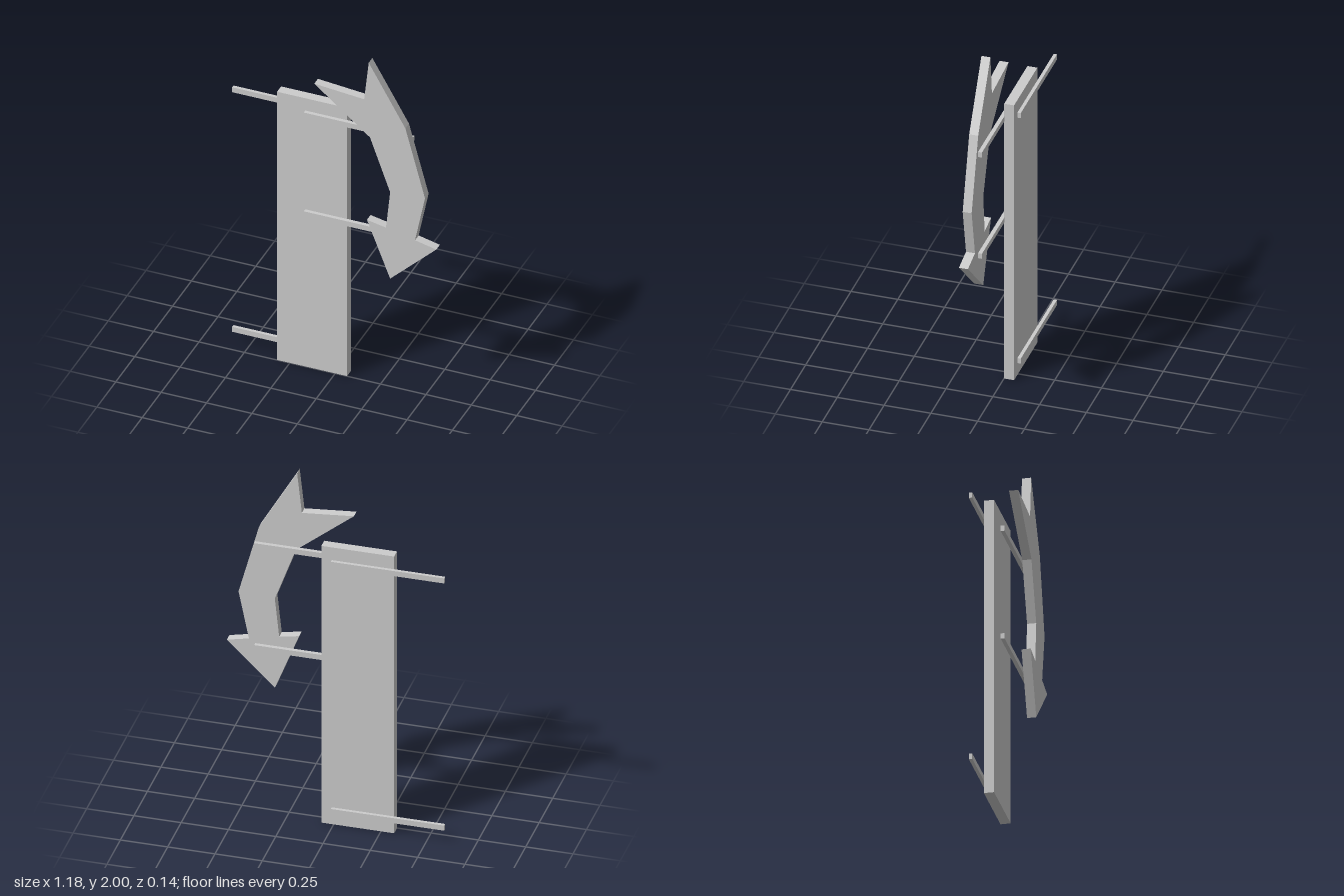
import * as THREE from 'three';

export function createModel() {
  const group = new THREE.Group();
  const material = new THREE.MeshStandardMaterial({ color: 0xcccccc, flatShading: true });

  const add = (name, geometry) => {
    const mesh = new THREE.Mesh(geometry, material);
    mesh.name = name;
    group.add(mesh);
    return mesh;
  };
  // Box given by its limits on each axis
  const slab = (name, [x0, x1], [y0, y1], [z0, z1]) =>
    add(name, new THREE.BoxGeometry(x1 - x0, y1 - y0, z1 - z0))
      .position.set((x0 + x1) / 2, (y0 + y1) / 2, (z0 + z1) / 2);

  // Tall upright board
  slab('board', [-0.32, 0.065], [0, 1.64], [-0.054, -0.001]);

  // Rails fixed to the back of the board, reaching out to its right
  for (const [name, y] of [['lowerBackRail', 0.085], ['upperBackRail', 1.55]])
    slab(name, [-0.59, 0.01], [y - 0.015, y + 0.015], [-0.072, -0.054]);

  // Rails on the front of the board, reaching out behind the arrow
  for (const [name, y] of [['lowerFrontRail', 0.946], ['upperFrontRail', 1.55]])
    slab(name, [-0.165, 0.435], [y - 0.015, y + 0.015], [-0.002, 0.019]);

  // Bent arrow plate with a notched tail and a downward head
  const outline = [
    [0.215, 2.0], [0.19, 1.77], [-0.085, 1.795], [0.222, 1.545], [0.333, 1.238], [0.31, 1.016],
    [0.205, 1.037], [0.333, 0.71], [0.587, 0.953], [0.47, 0.98], [0.525, 1.25], [0.417, 1.65],
  ];
  const shape = new THREE.Shape(outline.map(([x, y]) => new THREE.Vector2(x, y)));
  add('arrow', new THREE.ExtrudeGeometry(shape, { depth: 0.048, bevelEnabled: false }))
    .position.z = 0.024;

  return group;
}
